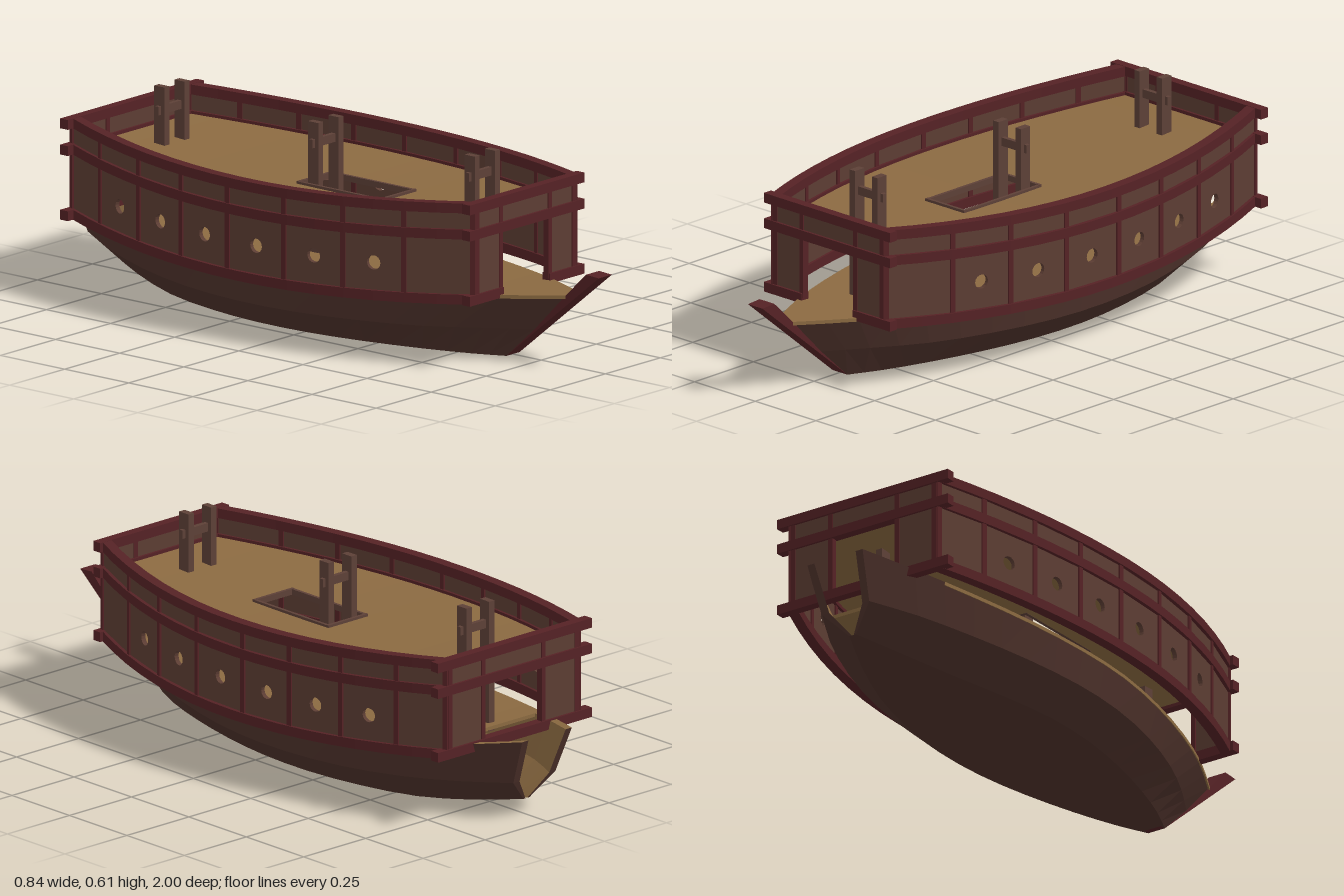
import * as THREE from 'three';

const mat = (color, extra = {}) => new THREE.MeshStandardMaterial({ color, flatShading: true, ...extra });
const TAN = mat(0x8b6a41), RED = mat(0x552225), PANEL = mat(0x5c3d33), HULL = mat(0x4e322b), POST = mat(0x5d4037);

// Plan half-width of the upper walls, and the upward sweep of decks and rails
const wallX = z => 0.403 - (z > -0.1 ? 0.2926 : 0.254) * (z + 0.1) ** 2;
const sheer = z => 0.045 * (z - 0.03) ** 2;
const FRONT = 0.68, REAR = -0.845;

function add(parent, name, geometry, material) {
  const mesh = new THREE.Mesh(geometry, material);
  mesh.name = name;
  parent.add(mesh);
  return mesh;
}

function box(parent, name, material, size, pos, turn = 0) {
  const mesh = add(parent, name, new THREE.BoxGeometry(...size), material);
  mesh.position.set(...pos);
  mesh.rotation.y = turn;
  return mesh;
}

// Flat geometry from four-cornered faces
function quadGeometry(quads) {
  const pos = [];
  for (const [a, b, c, d] of quads) for (const p of [a, b, c, a, c, d]) pos.push(...p);
  const g = new THREE.BufferGeometry();
  g.setAttribute('position', new THREE.Float32BufferAttribute(pos, 3));
  g.computeVertexNormals();
  return g;
}

// Faces between two lines of points
const strip = (A, B) => A.slice(1).map((p, i) => [A[i], p, B[i + 1], B[i]]);

// Solid from rectangular sections that run from front to rear
function loft(sections) {
  const rings = sections.map(([x0, x1, y0, y1, z]) => [[x0, y0, z], [x1, y0, z], [x1, y1, z], [x0, y1, z]]);
  const quads = [];
  for (let k = 0; k < 4; k++) quads.push(...strip(rings.map(r => r[k]), rings.map(r => r[(k + 1) % 4])));
  quads.push(rings[0], [...rings[rings.length - 1]].reverse());
  return quadGeometry(quads);
}

const range = (from, to, n) => Array.from({ length: n + 1 }, (_, i) => from + (to - from) * i / n);
const line = pts => new THREE.CatmullRomCurve3(pts.map(p => new THREE.Vector3(...p)));
const sample = curve => range(0, 1, 18).map(t => curve.getPoint(t).toArray());
const mirror = (pts, s) => pts.map(([x, y, z]) => [s * x, y, z]);
const inset = pts => pts.map(([x, y, z]) => [Math.max(x - 0.025, 0.004), y, z]);

function buildHull() {
  const hull = new THREE.Group();
  hull.name = 'hull';
  // Gunwale, chine and bottom edge from bow to stern
  const top = sample(line([[.03, .222, .87], [.125, .212, .69], [.205, .203, .49], [.27, .197, .27], [.312, .195, .04],
    [.32, .196, -.18], [.298, .203, -.42], [.25, .217, -.64], [.178, .242, -.84], [.1, .27, -1]]));
  const chine = sample(line([[.03, .1, .75], [.105, .097, .62], [.185, .09, .45], [.25, .087, .25], [.292, .085, .03],
    [.3, .085, -.18], [.277, .088, -.4], [.228, .097, -.61], [.16, .112, -.8], [.085, .125, -.945]]));
  const bottom = sample(line([[.03, 0, .64], [.075, 0, .54], [.125, 0, .39], [.17, 0, .21], [.2, 0, .02],
    [.205, 0, -.18], [.18, 0, -.38], [.135, .005, -.58], [.075, .025, -.76], [.012, .05, -.91]]));
  const last = top.length - 1;
  for (const s of [1, -1]) {
    const face = (A, B) => s > 0 ? strip(A, B) : strip(mirror(B, s), mirror(A, s));
    const [ti, ci, bi] = [top, chine, bottom].map(inset);
    add(hull, 'hullSide', quadGeometry([...face(bottom, chine), ...face(chine, top)]), HULL);
    add(hull, 'hullLining', quadGeometry([...face(chine, bottom).length ? face(ci, bi) : [], ...face(ti, ci), ...face(top, ti)]), TAN);
    const end = lines => lines.map(l => l[last]);
    add(hull, 'sternEdge', quadGeometry(face(end([top, chine, bottom]), end([ti, ci, bi]))), HULL);
  }
  add(hull, 'hullBottom', quadGeometry(strip(mirror(bottom, -1), bottom)), HULL);
  // Lower deck stops short of the open stern
  const deck = top.filter(p => p[2] > -0.83).map(([x, y, z]) => [-x, x, y - 0.01, y + 0.001, z]);
  add(hull, 'lowerDeck', loft(deck), TAN);
  // Raked stem post
  const outline = [[.64, 0], [1, .297], [.95, .3], [.87, .222], [.62, .02], [.62, 0]];
  const shape = new THREE.Shape(outline.map(([z, y]) => new THREE.Vector2(-z, y)));
  const stem = add(hull, 'stem', new THREE.ExtrudeGeometry(shape, { depth: 0.06, bevelEnabled: false }), RED);
  stem.rotation.y = Math.PI / 2;
  stem.position.x = -0.03;
  return hull;
}

function buildUpperDeck() {
  const deck = new THREE.Group();
  deck.name = 'upperDeck';
  const slab = (z0, z1, n, x0, x1) => add(deck, 'deckPlanks', loft(range(z0, z1, n).map(z => {
    const y = 0.405 + sheer(z);
    return [x0(z), x1(z), y - 0.01, y, z];
  })), TAN);
  const left = z => wallX(z), right = z => -wallX(z);
  slab(FRONT, 0.19, 6, right, left);
  slab(0.19, -0.13, 4, () => 0.075, left);
  slab(0.19, -0.13, 4, right, () => -0.075);
  slab(-0.13, REAR, 8, right, left);
  // Hatch frame
  for (const s of [1, -1]) {
    box(deck, 'hatchSide', POST, [0.01, 0.018, 0.33], [s * 0.075, 0.404, 0.03]);
    box(deck, 'hatchEnd', POST, [0.16, 0.018, 0.01], [0, 0.405, 0.03 + s * 0.16]);
  }
  // Paired mast posts with a crossbar
  for (const [z, top] of [[0.52, 0.597], [-0.09, 0.597], [-0.69, 0.605]]) {
    for (const s of [1, -1]) box(deck, 'mastPost', POST, [0.022, top - 0.2, 0.04], [s * 0.046, (top + 0.2) / 2, z]);
    box(deck, 'mastCrossbar', POST, [0.136, 0.026, 0.014], [0, 0.533, z]);
  }
  return deck;
}

// One flat wall panel between two posts, with an optional porthole
function sidePanel(parent, s, z0, z1, porthole) {
  const x0 = s * wallX(z0), x1 = s * wallX(z1);
  const len = Math.hypot(x1 - x0, z1 - z0);
  const shape = new THREE.Shape([[0, .2 + sheer(z0)], [len, .2 + sheer(z1)], [len, .48 + sheer(z1)], [0, .48 + sheer(z0)]]
    .map(p => new THREE.Vector2(...p)));
  if (porthole) {
    const hole = new THREE.Path();
    hole.absarc(len / 2, 0.3 + sheer((z0 + z1) / 2) * 0.6, 0.022, 0, Math.PI * 2, true);
    shape.holes.push(hole);
  }
  const g = new THREE.ExtrudeGeometry(shape, { depth: 0.014, bevelEnabled: false, curveSegments: 8 });
  g.translate(0, 0, -0.007);
  const panel = add(parent, 'sidePanel', g, PANEL);
  panel.position.set(x0, 0, z0);
  panel.rotation.y = Math.atan2(z0 - z1, x1 - x0);
}

function buildWalls() {
  const walls = new THREE.Group();
  walls.name = 'walls';
  const posts = [FRONT, 0.48, 0.29, 0.09, -0.12, -0.31, -0.5, -0.69, REAR];
  const rails = [0.2, 0.399, 0.479];
  for (const s of [1, -1]) {
    posts.forEach((z, i) => {
      if (i) sidePanel(walls, s, posts[i - 1], z, i > 1 && i < posts.length - 1);
      const slope = (wallX(z + 0.01) - wallX(z - 0.01)) / 0.02;
      box(walls, 'sidePost', RED, [0.024, 0.28, 0.016], [s * wallX(z), 0.34 + sheer(z), z], s * Math.atan(slope));
    });
    for (const y of rails) {
      add(walls, 'sideRail', loft(range(FRONT, REAR, 16).map(z => {
        const x = s * wallX(z), h = y + sheer(z);
        return [x - 0.017, x + 0.017, h - 0.015, h + 0.015, z];
      })), RED);
    }
  }
  // End walls, each with a central doorway
  for (const [z, railHalf, wallHalf, door, sill] of [[FRONT, 0.26, 0.225, 0.105, false], [REAR, 0.31, 0.262, 0.115, true]]) {
    const up = sheer(z);
    for (const s of [1, -1]) {
      box(walls, 'endPanel', PANEL, [wallHalf - door, 0.2, 0.014], [s * (wallHalf + door) / 2, 0.3 + up, z]);
      box(walls, 'endPost', RED, [0.016, 0.28, 0.02], [s * (door + 0.006), 0.34 + up, z]);
      box(walls, 'cornerPost', RED, [0.016, 0.28, 0.02], [s * (wallHalf - 0.006), 0.34 + up, z]);
      if (!sill) box(walls, 'endSill', RED, [railHalf - door, 0.03, 0.03], [s * (railHalf + door) / 2, rails[0] + up, z]);
    }
    if (sill) box(walls, 'endSill', RED, [railHalf * 2, 0.03, 0.03], [0, rails[0] + up, z]);
    box(walls, 'endTopPanel', PANEL, [wallHalf * 2, 0.08, 0.014], [0, 0.44 + up, z]);
    for (const y of rails.slice(1)) box(walls, 'endRail', RED, [railHalf * 2, 0.03, 0.03], [0, y + up, z]);
  }
  return walls;
}

export function createModel() {
  const ship = new THREE.Group();
  ship.name = 'ship';
  ship.add(buildHull(), buildUpperDeck(), buildWalls());
  return ship;
}
